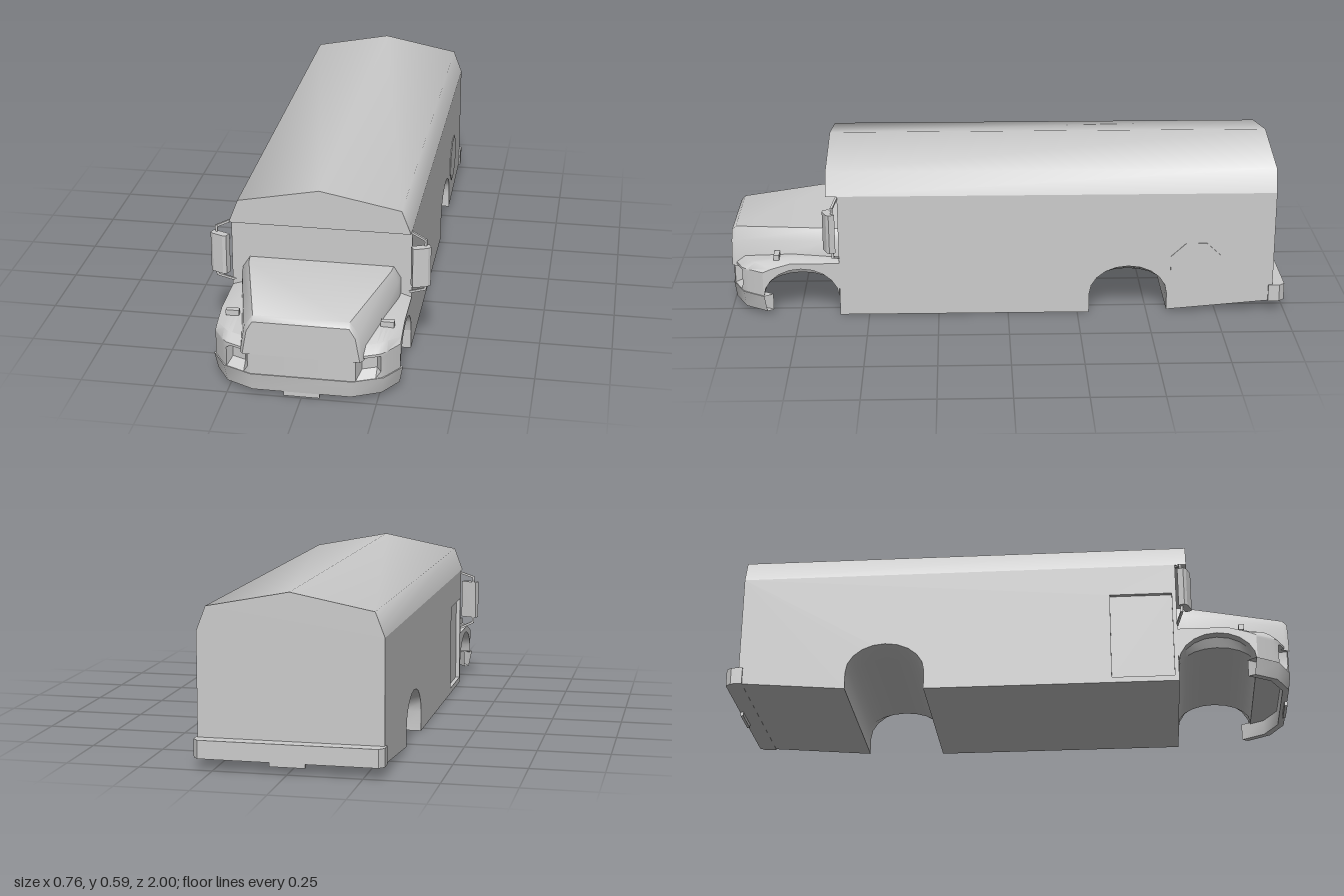
import * as THREE from 'three';
import { toCreasedNormals } from 'three/addons/utils/BufferGeometryUtils.js';

const grey = new THREE.MeshStandardMaterial({ color: 0xcccccc });
const shell = new THREE.MeshStandardMaterial({ color: 0xcccccc, side: THREE.DoubleSide });
const HALF = 0.312, WELL = 0.25;

export function createModel() {
  const bus = new THREE.Group();
  bus.name = 'bus';

  const add = (name, geometry, material = grey) => {
    const mesh = new THREE.Mesh(geometry, material);
    mesh.name = name;
    bus.add(mesh);
    return mesh;
  };

  // Skin through matching rows of [x, y, z] points
  const loft = (rows, closed = false, crease = 0.6) => {
    const pos = [], n = rows[0].length;
    for (let i = 0; i < rows.length - 1; i++) {
      for (let j = 0; j < (closed ? n : n - 1); j++) {
        const k = (j + 1) % n;
        const [a, b, c, d] = [rows[i][j], rows[i][k], rows[i + 1][j], rows[i + 1][k]];
        pos.push(...a, ...b, ...c, ...b, ...d, ...c);
      }
    }
    const g = new THREE.BufferGeometry();
    g.setAttribute('position', new THREE.Float32BufferAttribute(pos, 3));
    g.computeVertexNormals();
    return toCreasedNormals(g, crease);
  };

  // Flat side panel facing +x (s = 1) or -x (s = -1) from [z, y] points
  const sidePanel = (points, x, s, hole) => {
    const flat = (list) => list.map(([z, y]) => new THREE.Vector2(-s * z, y));
    const shape = new THREE.Shape(flat(points));
    if (hole) shape.holes.push(new THREE.Path(flat(hole)));
    return new THREE.ShapeGeometry(shape).rotateY(s * Math.PI / 2).translate(x, 0, 0);
  };

  // Wheel arch as [z, y] points, running front to back
  const arch = (zc, rz, ry) => Array.from({ length: 11 }, (_, i) => {
    const a = i / 10 * Math.PI;
    return [zc + rz * Math.cos(a), 0.07 + ry * Math.sin(a)];
  });
  const archHeight = (x) => (Math.abs(x) > WELL + 0.01 ? 0.108 : 0.075);

  // Passenger body: front wall, floor with wheel tunnel, rear wall
  const bodyProfile = (ry) => [
    [0.605, 0.452], [0.605, 0], [-0.292, 0], ...arch(-0.432, 0.14, ry),
    [-0.572, 0.008], [-0.955, 0.04], [-0.955, 0.452],
  ];
  const bodyRows = [-HALF, -WELL, WELL, HALF].map((x) =>
    bodyProfile(archHeight(x)).map(([z, y]) => [x, y, z]));
  add('bodyShell', loft(bodyRows), shell);

  // Side walls, with the entry door recess on the right
  const doorway = [[0.37, 0.02], [0.59, 0.02], [0.59, 0.34], [0.37, 0.34]];
  const wall = bodyProfile(0.108);
  add('leftWall', sidePanel(wall, HALF, 1));
  add('rightWall', sidePanel(wall, -HALF, -1, doorway));
  add('doorFrame', loft([-HALF, -0.297].map((x) => doorway.map(([z, y]) => [x, y, z])), true), shell);
  add('door', sidePanel(doorway, -0.297, -1));

  // Roof with front overhang
  const roofShape = new THREE.Shape([
    [-HALF, 0.452], [HALF, 0.452], [0.28, 0.535], [0, 0.589], [-0.28, 0.535],
  ].map((p) => new THREE.Vector2(...p)));
  const roof = new THREE.ExtrudeGeometry(roofShape, { depth: 1.6, bevelEnabled: false });
  add('roof', toCreasedNormals(roof.translate(0, 0, -0.955), 1.1));

  // Front fenders and fascia in one skin, headlight pockets pushed inward
  const noseZ = (x) => {
    const a = Math.abs(x);
    if (a < 0.17) return 0.997;
    return a < 0.265 ? 0.997 - (a - 0.17) * 0.45 : 0.954 - (a - 0.265) * 1.6;
  };
  const fenderProfile = (x) => {
    const a = Math.abs(x), z = noseZ(x);
    const pocket = a > 0.185 && a < 0.25 ? 0.035 : 0;
    const top = a > 0.3 ? 0.198 : 0.21;
    return [
      ...arch(0.742, 0.135, archHeight(x)),
      [0.6, top], [0.78, top], [z - 0.03, top - 0.02], [z, 0.165],
      [z, 0.156], [z - pocket, 0.146], [z - pocket, 0.1], [z, 0.076], [z, 0.07],
    ];
  };
  const fenderX = [0.17, 0.18, 0.195, 0.242, 0.258, 0.275, HALF];
  const fenderRows = [...fenderX.map((x) => -x).reverse(), ...fenderX]
    .map((x) => fenderProfile(x).map(([z, y]) => [x, y, z]));
  add('fenders', loft(fenderRows, true), shell);
  for (const s of [1, -1]) add('fenderSide', sidePanel(fenderProfile(HALF), s * HALF, s));

  // Hood, narrowing towards the nose
  const hoodSections = [
    [0.6, [0.275, 0.19], [0.275, 0.27], [0.25, 0.309]],
    [0.645, [0.273, 0.19], [0.27, 0.268], [0.245, 0.308]],
    [0.985, [0.205, 0.15], [0.19, 0.245], [0.16, 0.287]],
    [1.0, [0.195, 0.15], [0.18, 0.235], [0.16, 0.27]],
  ];
  const hoodRows = hoodSections.map(([z, ...half]) => [
    ...half.map(([x, y]) => [x, y, z]),
    ...half.map(([x, y]) => [-x, y, z]).reverse(),
  ]);
  add('hood', loft(hoodRows, false, 0.9), shell);
  const nose = new THREE.Shape(hoodRows[3].map(([x, y]) => new THREE.Vector2(x, y)));
  add('hoodNose', new THREE.ShapeGeometry(nose).translate(0, 0, 1.0));

  // Wraparound front bumper, tapering downwards
  const bumperPath = [[-0.32, 0.875], [-0.268, 0.955], [-0.17, 1], [0.17, 1], [0.268, 0.955], [0.32, 0.875]];
  const bumperRows = bumperPath.map(([x, z]) => [
    [x, 0.076, z], [x * 0.965, 0.015, z - 0.008], [x * 0.92, 0.015, z - 0.03], [x * 0.92, 0.076, z - 0.03],
  ]);
  add('frontBumper', loft(bumperRows, true), shell);

  // Rear bumper with chamfered corners
  const rearPlan = [[0.318, 0.94], [0.318, 0.98], [0.3, 1], [-0.3, 1], [-0.318, 0.98], [-0.318, 0.94]];
  const rear = new THREE.ExtrudeGeometry(
    new THREE.Shape(rearPlan.map((p) => new THREE.Vector2(...p))), { depth: 0.062, bevelEnabled: false });
  add('rearBumper', rear.rotateX(-Math.PI / 2).translate(0, 0.038, 0));

  // Plate tabs under both bumpers
  add('frontTab', new THREE.BoxGeometry(0.12, 0.02, 0.01)).position.set(0, 0.01, 0.987);
  add('rearTab', new THREE.BoxGeometry(0.12, 0.02, 0.01)).position.set(0, 0.034, -0.993);

  // Octagonal sign on the left wall
  const sign = new THREE.CylinderGeometry(0.098, 0.098, 0.004, 8).rotateY(Math.PI / 8).rotateZ(Math.PI / 2);
  add('sideSign', toCreasedNormals(sign.scale(1, 0.92, 1), 0.3)).position.set(HALF + 0.001, 0.18, -0.675);

  // Square bar between two points
  const bar = (name, from, to) => {
    const a = new THREE.Vector3(...from), b = new THREE.Vector3(...to);
    const mesh = add(name, new THREE.BoxGeometry(0.008, 0.008, a.distanceTo(b) + 0.006));
    mesh.position.copy(a).add(b).multiplyScalar(0.5);
    mesh.lookAt(b);
  };

  // Mirrors on brackets and fender marker lamps
  const mirrorPlan = [[-0.032, -0.01], [-0.02, -0.016], [0.02, -0.016], [0.032, -0.01], [0.032, 0.012], [-0.032, 0.012]];
  for (const s of [1, -1]) {
    const head = new THREE.ExtrudeGeometry(
      new THREE.Shape(mirrorPlan.map((p) => new THREE.Vector2(...p))), { depth: 0.143, bevelEnabled: false });
    const mirror = add('mirror', head.rotateX(-Math.PI / 2));
    mirror.position.set(s * 0.346, 0.262, 0.635);
    mirror.rotation.y = s * 0.4;

    const path = [[0.3, 0.448, 0.605], [0.36, 0.425, 0.622], [0.36, 0.242, 0.622], [0.305, 0.218, 0.605]]
      .map(([x, y, z]) => [s * x, y, z]);
    for (let i = 0; i < 3; i++) bar('mirrorBracket', path[i], path[i + 1]);

    add('markerLamp', new THREE.BoxGeometry(0.045, 0.02, 0.02)).position.set(s * 0.262, 0.211, 0.83);
  }
  return bus;
}
